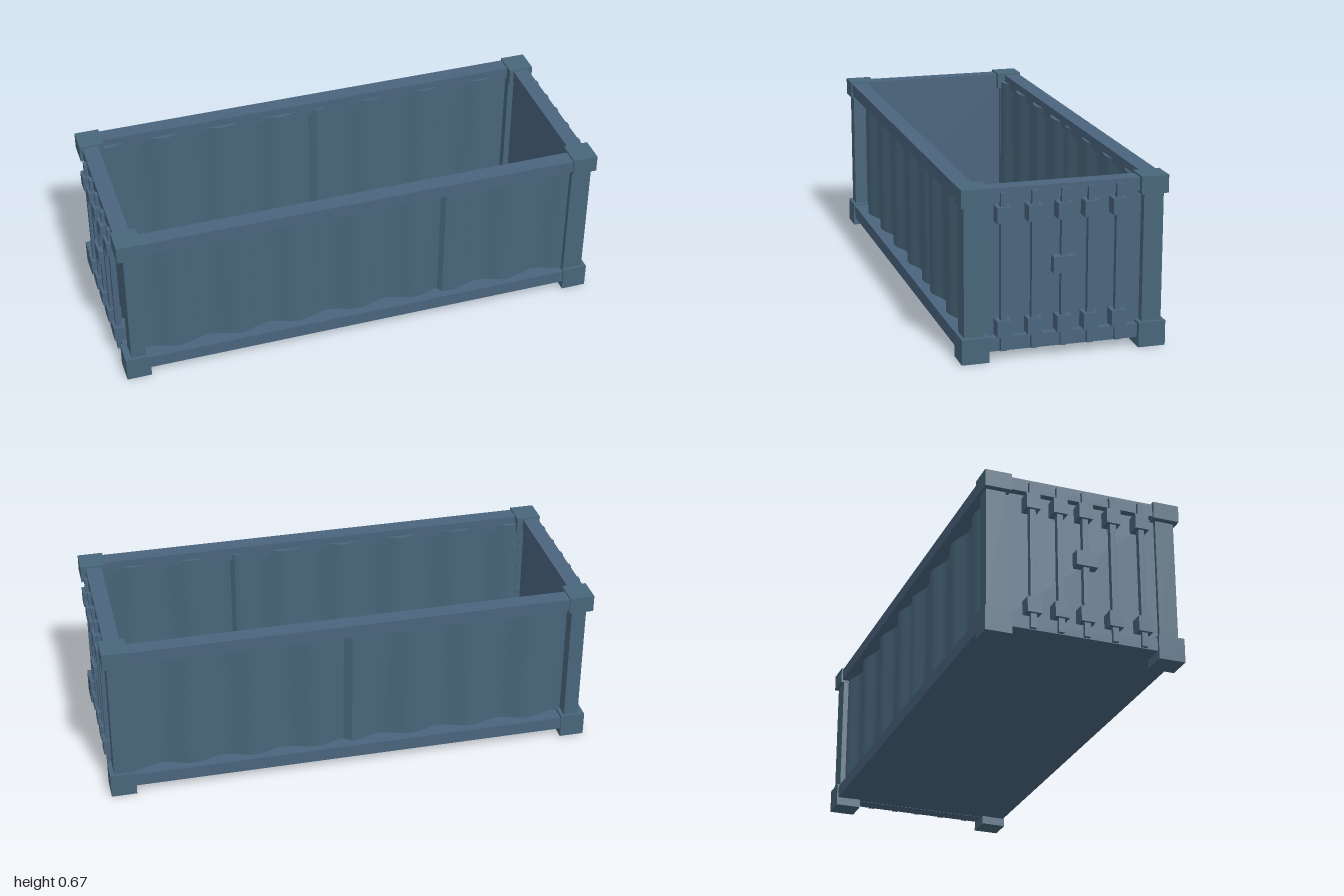
import * as THREE from 'three';
import { toCreasedNormals } from 'three/addons/utils/BufferGeometryUtils.js';

const steelBlue = new THREE.MeshStandardMaterial({ color: 0x4a647d });
steelBlue.name = 'steel blue paint';
const tealBlue = new THREE.MeshStandardMaterial({ color: 0x48667a });
tealBlue.name = 'teal blue paint';

// Box given by its minimum and maximum along each axis
function box(parent, name, material, [x0, x1], [y0, y1], [z0, z1]) {
  const mesh = new THREE.Mesh(new THREE.BoxGeometry(x1 - x0, y1 - y0, z1 - z0), material);
  mesh.position.set((x0 + x1) / 2, (y0 + y1) / 2, (z0 + z1) / 2);
  mesh.name = name;
  parent.add(mesh);
}

// Range mirrored to the chosen side of an axis
const mirror = (side, a, b) => (side > 0 ? [a, b] : [-b, -a]);

// Gently corrugated sheet, stepped at the seam where two panels meet
function corrugatedWall(side, seam) {
  const steps = 120;
  const wave = (x) => {
    const past = THREE.MathUtils.clamp((x - seam) / 0.03, 0, 1);
    return 0.332 + 0.015 * Math.cos((x + 0.1 * past) * Math.PI * 8) + 0.006 * past;
  };
  const outer = [], inner = [];
  for (let i = 0; i <= steps; i++) {
    const x = -0.91 + (1.82 * i) / steps;
    outer.push(new THREE.Vector2(x, -side * (wave(x) + 0.01)));
    inner.push(new THREE.Vector2(x, -side * (wave(x) - 0.01)));
  }
  const shape = new THREE.Shape([...outer, ...inner.reverse()]);
  const geometry = new THREE.ExtrudeGeometry(shape, { depth: 0.57, bevelEnabled: false, steps: 1 });
  geometry.rotateX(-Math.PI / 2);
  geometry.translate(0, 0.06, 0);
  const mesh = new THREE.Mesh(toCreasedNormals(geometry, 0.6), tealBlue);
  mesh.name = side > 0 ? 'frontCorrugatedWall' : 'backCorrugatedWall';
  return mesh;
}

export function createModel() {
  const model = new THREE.Group();
  model.name = 'openTopContainer';

  // Floor pan
  box(model, 'floor', steelBlue, [-0.95, 0.95], [0.036, 0.07], [-0.36, 0.36]);

  // Long walls with their bottom and top rails
  for (const side of [1, -1]) {
    model.add(corrugatedWall(side, side > 0 ? 0.33 : 0));
    const z = mirror(side, 0.325, 0.392);
    box(model, 'bottomSideRail', steelBlue, [-0.97, 0.97], [0.035, 0.088], z);
    box(model, 'topSideRail', steelBlue, [-0.97, 0.97], [0.608, 0.66], z);
  }

  // Corner posts and castings
  for (const sx of [1, -1]) {
    for (const sz of [1, -1]) {
      const postX = sx > 0 ? [0.895, 0.978] : [-0.96, -0.9];
      const castX = sx > 0 ? [0.893, 0.995] : [-0.985, -0.885];
      const castZ = mirror(sz, 0.292, 0.398);
      box(model, 'cornerPost', tealBlue, postX, [0.09, 0.61], mirror(sz, 0.308, 0.385));
      box(model, 'bottomCornerCasting', tealBlue, castX, [0, 0.098], castZ);
      box(model, 'topCornerCasting', tealBlue, castX, [0.598, 0.667], castZ);
    }
  }

  // Both ends carry recessed doors with locking bars
  for (const sx of [1, -1]) {
    const end = new THREE.Group();
    end.name = sx > 0 ? 'leftDoorEnd' : 'rightDoorEnd';
    box(end, 'doorPanel', steelBlue, mirror(sx, 0.92, 0.945), [0.06, 0.63], [-0.33, 0.33]);
    const railX = mirror(sx, 0.91, 0.974);
    box(end, 'bottomEndRail', steelBlue, railX, [0.035, 0.088], [-0.33, 0.33]);
    box(end, 'topEndRail', steelBlue, railX, [0.608, 0.66], [-0.33, 0.33]);

    for (const z of [0.235, 0.117, 0.003, -0.1, -0.21]) {
      const barX = mirror(sx, 0.965, 0.988);
      box(end, 'lockingBar', steelBlue, barX, [0.038, 0.645], [z - 0.012, z + 0.012]);
      for (const y of [0.126, 0.561]) {
        const bracketX = mirror(sx, 0.94, 0.999);
        box(end, 'barBracket', steelBlue, bracketX, [y - 0.031, y + 0.031], [z - 0.028, z + 0.028]);
      }
    }
    box(end, 'lockBox', steelBlue, mirror(sx, 0.96, 1), [0.325, 0.387], [-0.04, 0.047]);
    model.add(end);
  }
  return model;
}
